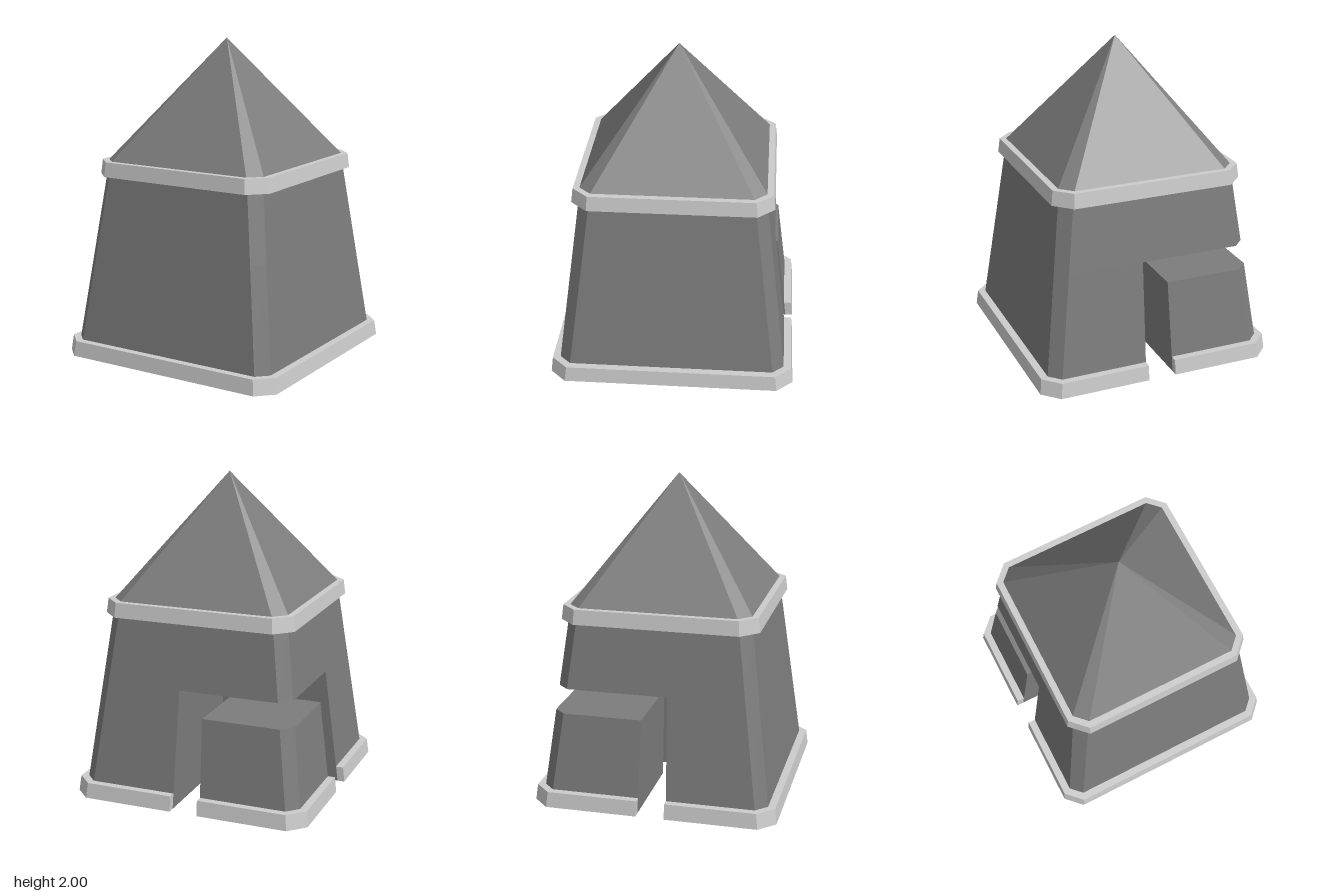
import * as THREE from 'three';

const wallMat = new THREE.MeshStandardMaterial({ color: 0x7c7c7c, flatShading: true });
const trimMat = new THREE.MeshStandardMaterial({ color: 0xcccccc, flatShading: true });

// Straight-sided solid between two matching [x, z] outlines at heights y0 and y1
function loft(lower, y0, upper, y1, { bottom = true, top = true } = {}) {
  let a = lower.map(([x, z]) => new THREE.Vector2(x, -z));
  let b = upper.map(([x, z]) => new THREE.Vector2(x, -z));
  if (THREE.ShapeUtils.isClockWise(a)) { a.reverse(); b.reverse(); }
  const pos = [];
  const put = (p, y) => pos.push(p.x, y, -p.y);
  a.forEach((p, i) => {
    const j = (i + 1) % a.length;
    put(p, y0); put(a[j], y0); put(b[j], y1);
    put(p, y0); put(b[j], y1); put(b[i], y1);
  });
  for (const [i, j, k] of THREE.ShapeUtils.triangulateShape(a, [])) {
    if (top) { put(b[i], y1); put(b[j], y1); put(b[k], y1); }
    if (bottom) { put(a[k], y0); put(a[j], y0); put(a[i], y0); }
  }
  const geo = new THREE.BufferGeometry();
  geo.setAttribute('position', new THREE.Float32BufferAttribute(pos, 3));
  geo.computeVertexNormals();
  return geo;
}

// Square with chamfered corners: half width w, chamfer k
const octagon = (w, k) => [
  [-w + k, -w], [w - k, -w], [w, -w + k], [w, w - k],
  [w - k, w], [-w + k, w], [-w, w - k], [-w, -w + k],
];
// Outer edge of the tower around three corners, stopping at the cut-out (c)
const towerEdge = (w, k, c) => [
  [c, -w], [w - k, -w], [w, -w + k], [w, w - k],
  [w - k, w], [-w + k, w], [-w, w - k], [-w, c],
];
// Outer edge of the separate corner block
const blockEdge = (w, k, c) => [[-c, -w], [-w + k, -w], [-w, -w + k], [-w, -c]];

// Wall half width and cut-out offset shrink together with height
const wallW = (y) => 0.722 - 0.127 * y;
const cutC = (y) => 0.09 * wallW(y) / wallW(0);
const K = 0.07;

export function createModel() {
  const group = new THREE.Group();
  const add = (name, geo, mat) => {
    const mesh = new THREE.Mesh(geo, mat);
    mesh.name = name;
    group.add(mesh);
  };

  const cutTop = 0.74, blockTop = 0.585, wallTop = 1.16;
  const rimTop = 0.097, bandBottom = 1.153, bandTop = 1.245;

  // Tower walls: cut-out lower part and full upper part
  const towerPlan = (y) => [...towerEdge(wallW(y), K, cutC(y)), [cutC(y), cutC(y)]];
  add('lowerWalls', loft(towerPlan(0), 0, towerPlan(cutTop), cutTop, { top: false }), wallMat);
  add('upperWalls', loft(octagon(wallW(cutTop), K), cutTop, octagon(wallW(wallTop), K), wallTop), wallMat);

  // Loose block standing in the cut-out corner
  const blockPlan = (y) => [...blockEdge(wallW(y), K, cutC(y)), [-cutC(y), -cutC(y)]];
  add('cornerBlock', loft(blockPlan(0), 0, blockPlan(blockTop), blockTop), wallMat);

  // Base rim, following the tower and the block
  const rimPlan = (edge, w, y) => [
    ...edge(w, 0.1, cutC(y)),
    ...edge(wallW(y), K, cutC(y)).reverse(),
  ];
  for (const [name, edge] of [['towerBaseRim', towerEdge], ['blockBaseRim', blockEdge]]) {
    add(name, loft(rimPlan(edge, 0.768, 0), 0, rimPlan(edge, 0.757, rimTop), rimTop), trimMat);
  }

  // Band under the roof
  add('roofBand', loft(octagon(0.618, 0.105), bandBottom, octagon(0.607, 0.1), bandTop), trimMat);

  // Pointed roof
  const apex = octagon(0, 0);
  add('roof', loft(octagon(0.567, 0.075), bandTop, apex, 2, { bottom: false, top: false }), wallMat);

  return group;
}
